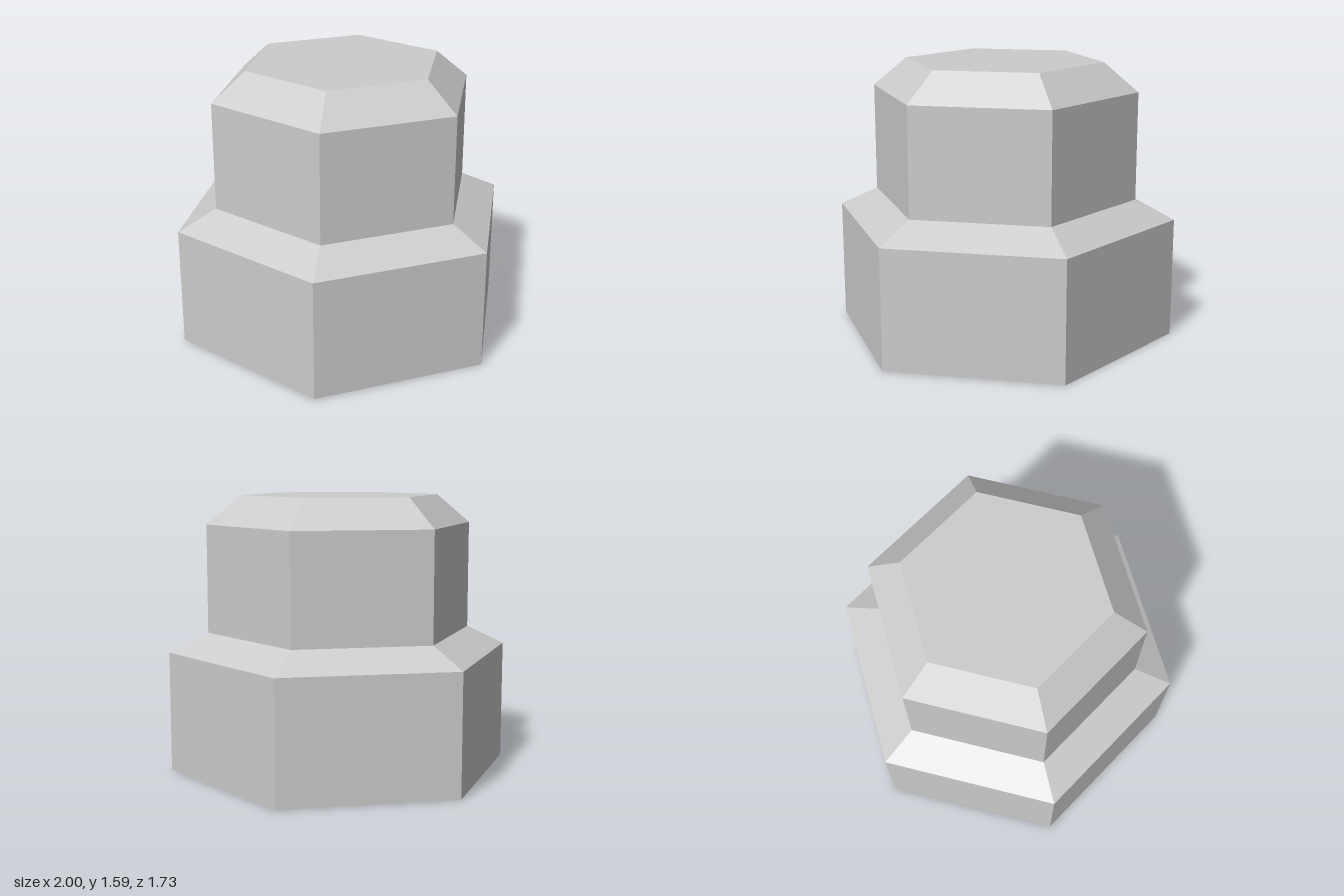
import * as THREE from 'three';

export function createModel() {
  const model = new THREE.Group();
  const material = new THREE.MeshStandardMaterial({
    color: 0xcccccc, flatShading: true, side: THREE.DoubleSide,
  });

  // Hexagonal tiers of a hollow shell, open underneath, corners on the x axis
  const tiers = [
    // name, bottom radius, top radius, bottom y, top y
    ['base', 1, 1, 0, 0.695],
    ['shoulder', 1, 0.775, 0.695, 0.805],
    ['upperBody', 0.775, 0.775, 0.805, 1.428],
    ['topBevel', 0.775, 0.578, 1.428, 1.593],
  ];
  for (const [name, r0, r1, y0, y1] of tiers) {
    const geometry = new THREE.CylinderGeometry(r1, r0, y1 - y0, 6, 1, true, Math.PI / 2);
    geometry.translate(0, (y0 + y1) / 2, 0);
    const tier = new THREE.Mesh(geometry, material);
    tier.name = name;
    model.add(tier);
  }

  // Flat cap closing the top
  const cap = new THREE.Mesh(new THREE.CircleGeometry(0.578, 6).rotateX(-Math.PI / 2), material);
  cap.position.y = 1.593;
  cap.name = 'topCap';
  model.add(cap);

  return model;
}
